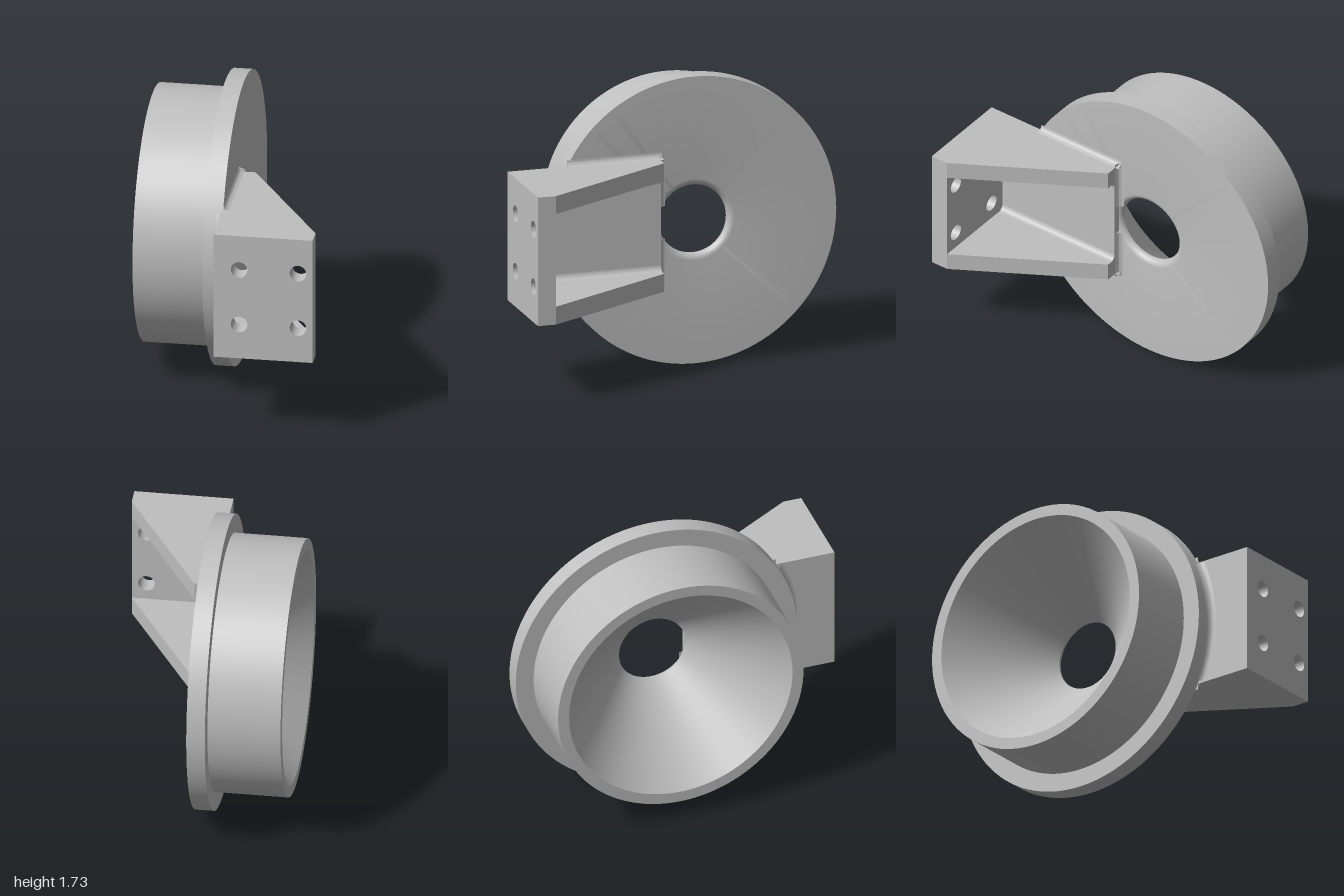
import * as THREE from 'three';
import { toCreasedNormals } from 'three/addons/utils/BufferGeometryUtils.js';

const CY = 0.865, CZ = -0.135;          // flange axis, along x
const FACE = -0.023;                    // flange face
const TOP = 1.253, BOTTOM = 0.478;      // bracket height range
const WALL = 0.108, WEB = 0.018;        // gusset thickness, web surface
const R = 0.036;                        // fillet radius

export function createModel() {
  const group = new THREE.Group();
  const grey = new THREE.MeshStandardMaterial({ color: 0xbfbfbf });
  grey.name = 'plainGrey';

  const add = (name, geometry) => {
    const mesh = new THREE.Mesh(toCreasedNormals(geometry, 0.5), grey);
    mesh.name = name;
    group.add(mesh);
    return mesh;
  };
  const X = new THREE.Vector3(1, 0, 0), Y = new THREE.Vector3(0, 1, 0), Z = new THREE.Vector3(0, 0, 1);
  const neg = (v) => v.clone().negate();

  // Extrudes a shape drawn on axes a and b along a x b
  const extrude = (name, shape, depth, origin, a, b) => {
    const g = new THREE.ExtrudeGeometry(shape, { depth, bevelEnabled: false, curveSegments: 16 });
    const m = new THREE.Matrix4().makeBasis(a, b, new THREE.Vector3().crossVectors(a, b));
    m.setPosition(...origin);
    return add(name, g.applyMatrix4(m));
  };
  const polygon = (pts) => new THREE.Shape(pts.map((p) => new THREE.Vector2(...p)));
  const revolve = (name, pts, segments, start, length) => {
    const g = new THREE.LatheGeometry(pts.map((p) => new THREE.Vector2(...p)), segments, start, length);
    g.rotateZ(-Math.PI / 2).translate(0, CY, CZ);
    return add(name, g);
  };

  // Drum, flange, rounded hole lip and conical inside in one profile
  const lip = [];
  for (let i = 0; i <= 6; i++) {
    const t = (i / 6) * Math.PI / 2;
    lip.push([0.245 - 0.04 * Math.sin(t), FACE - 0.04 + 0.04 * Math.cos(t)]);
  }
  revolve('flangedDrum', [
    [0.755, -0.56], [0.755, -0.132], [0.865, -0.132], [0.865, FACE],
    ...lip, [0.687, -0.56], [0.755, -0.56],
  ], 128, 0, Math.PI * 2);

  // Concave blend between flange rim and the back of the bracket
  const blend = [];
  for (let i = 0; i <= 6; i++) {
    const t = (i / 6) * Math.PI / 2;
    blend.push([0.905 - 0.04 * Math.cos(t), FACE - 0.04 + 0.04 * Math.sin(t)]);
  }
  revolve('rimFillet', blend, 32, -0.44, 0.88);

  // Mounting plate with four bolt holes
  const plate = polygon([[FACE, BOTTOM], [0.558, BOTTOM], [0.558, TOP], [FACE, TOP]]);
  for (const x of [0.126, 0.472]) {
    for (const y of [0.693, 1.039]) {
      plate.holes.push(new THREE.Path().absarc(x, y, 0.049, 0, Math.PI * 2, true));
    }
  }
  extrude('mountingPlate', plate, 0.11, [0, 0, 0.89], X, Y);

  // Sloping gussets, upper and lower
  const gusset = polygon([[FACE, 0.08], [0.08, 0.08], [0.558, 0.89], [FACE, 0.89]]);
  extrude('upperGusset', gusset, WALL, [0, TOP, 0], X, Z);
  extrude('lowerGusset', gusset, WALL, [0, BOTTOM + WALL, 0], X, Z);

  // Web joining the gussets
  const web = new THREE.BoxGeometry(WEB - FACE, TOP - BOTTOM - 2 * WALL, 0.81);
  web.translate((WEB + FACE) / 2, (TOP + BOTTOM) / 2, 0.485);
  add('web', web);

  // Concave fillets along the bracket joints
  const corner = new THREE.Shape();
  corner.moveTo(0, 0);
  corner.lineTo(R, 0);
  corner.absarc(R, R, R, -Math.PI / 2, -Math.PI, true);
  corner.lineTo(0, 0);
  const fillet = (name, origin, a, b, length) => extrude(name, corner, length, origin, a, b);
  fillet('upperOuterFillet', [FACE, TOP, 0.06], X, Y, 0.58);
  fillet('lowerOuterFillet', [FACE, BOTTOM, 0.06], neg(Y), X, 0.58);
  fillet('upperInnerFillet', [WEB, TOP - WALL, 0.08], neg(Y), X, 0.81);
  fillet('lowerInnerFillet', [WEB, BOTTOM + WALL, 0.08], X, Y, 0.81);
  // The end fillet stops either side of the hole
  fillet('lowerEndFillet', [FACE, BOTTOM - 0.02, 0.08], X, neg(Z), 0.31);
  fillet('upperEndFillet', [FACE, TOP - 0.29, 0.08], X, neg(Z), 0.31);

  return group;
}
